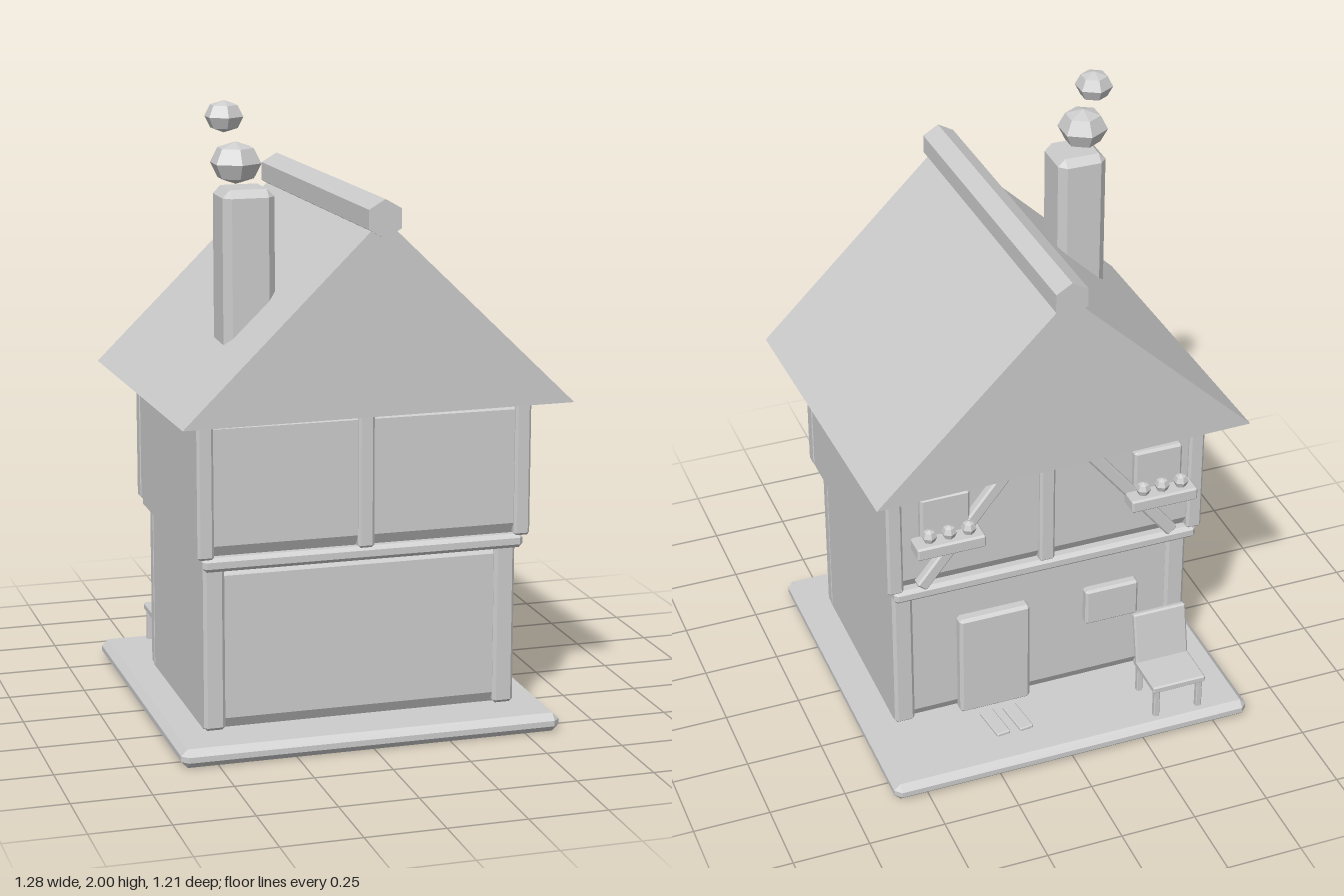
import * as THREE from 'three';
import { ConvexGeometry } from 'three/addons/geometries/ConvexGeometry.js';

const plaster = new THREE.MeshStandardMaterial({ color: 0xcccccc });
plaster.name = 'plain grey';

function add(parent, name, geometry, x = 0, y = 0, z = 0) {
  const mesh = new THREE.Mesh(geometry, plaster);
  mesh.name = name;
  mesh.position.set(x, y, z);
  parent.add(mesh);
  return mesh;
}

// Box with all edges chamfered by c
function chamferBox(w, h, d, c) {
  const pts = [];
  for (const sx of [-1, 1]) for (const sy of [-1, 1]) for (const sz of [-1, 1]) {
    const a = w / 2, b = h / 2, e = d / 2;
    pts.push(
      new THREE.Vector3(sx * a, sy * (b - c), sz * (e - c)),
      new THREE.Vector3(sx * (a - c), sy * b, sz * (e - c)),
      new THREE.Vector3(sx * (a - c), sy * (b - c), sz * e));
  }
  return new ConvexGeometry(pts);
}

// Chamfered block given by its limits
function block(parent, name, x0, x1, y0, y1, z0, z1, c = 0.006) {
  return add(parent, name, chamferBox(x1 - x0, y1 - y0, z1 - z0, c),
    (x0 + x1) / 2, (y0 + y1) / 2, (z0 + z1) / 2);
}

// Storey body: flat sides, front and back chamfered along top and bottom
function storey(parent, name, halfX, y0, y1, z0, z1) {
  const cy = 0.035, cz = 0.02;
  const shape = new THREE.Shape([
    [z0 + cz, y0], [z1 - cz, y0], [z1, y0 + cy], [z1, y1 - cy],
    [z1 - cz, y1], [z0 + cz, y1], [z0, y1 - cy], [z0, y0 + cy],
  ].map(([z, y]) => new THREE.Vector2(-z, y)));
  const g = new THREE.ExtrudeGeometry(shape, { depth: halfX * 2, bevelEnabled: false });
  g.translate(0, 0, -halfX).rotateY(Math.PI / 2);
  add(parent, name, g);
}

export function createModel() {
  const house = new THREE.Group();
  house.name = 'house';

  // Base and storeys
  block(house, 'base', -0.617, 0.612, 0, 0.06, -0.607, 0.58, 0.021);
  storey(house, 'lowerWalls', 0.506, 0.06, 0.59, -0.292, 0.413);
  block(house, 'floorSlab', -0.52, 0.516, 0.585, 0.63, -0.356, 0.476, 0.012);
  storey(house, 'upperWalls', 0.534, 0.63, 1.066, -0.34, 0.464);

  // Timber posts on front and back
  for (const s of [-1, 1]) {
    const [l0, l1] = s > 0 ? [0.37, 0.425] : [-0.303, -0.25];
    const [u0, u1] = s > 0 ? [0.42, 0.476] : [-0.354, -0.3];
    for (const x of [-0.474, 0.474]) block(house, 'lowerPost', x - 0.034, x + 0.034, 0.06, 0.595, l0, l1, 0.01);
    for (const x of [-0.511, 0, 0.511]) block(house, 'upperPost', x - 0.026, x + 0.026, 0.625, 1.08, u0, u1, 0.008);
  }

  // Roof, ridge and chimney; the roof is turned slightly
  const roof = new THREE.Group();
  roof.name = 'roof';
  roof.position.set(0, 1.066, 0.054);
  roof.rotation.y = 0.028;
  house.add(roof);
  const gable = new THREE.Shape([
    new THREE.Vector2(-0.626, 0), new THREE.Vector2(0.626, 0), new THREE.Vector2(0, 0.605)]);
  add(roof, 'gableRoof', new THREE.ExtrudeGeometry(gable, { depth: 1.06, bevelEnabled: false }), 0, 0, -0.53);
  const ridge = new THREE.CylinderGeometry(0.06, 0.06, 1.09, 6).toNonIndexed();
  ridge.rotateX(Math.PI / 2);
  ridge.computeVertexNormals();
  add(roof, 'ridgeBeam', ridge, 0, 0.604, 0);
  block(house, 'chimney', -0.416, -0.253, 1.18, 1.736, 0.196, 0.36, 0.024);

  // Smoke puffs
  for (const [x, y, z, r] of [[-0.357, 1.81, 0.272, 0.081], [-0.393, 1.952, 0.272, 0.061]]) {
    const puff = new THREE.SphereGeometry(r, 6, 4).rotateY(Math.PI / 6).scale(1, 0.8, 1).toNonIndexed();
    puff.computeVertexNormals();
    add(house, 'smokePuff', puff, x, y, z);
  }

  // Door, lower window and two mats on the back
  block(house, 'door', 0.047, 0.29, 0.06, 0.44, -0.328, -0.28, 0.01);
  block(house, 'lowerWindow', -0.335, -0.15, 0.3, 0.435, -0.322, -0.28, 0.008);
  for (const x of [0.125, 0.205]) {
    block(house, 'mat', x - 0.024, x + 0.024, 0.058, 0.073, -0.48, -0.35, 0.004).rotation.y = 0.12;
  }

  // Diagonal braces, upper windows and flower boxes
  for (const s of [-1, 1]) {
    const brace = add(house, 'brace', chamferBox(0.042, 0.5, 0.04, 0.006), s * 0.275, 0.835, -0.348);
    brace.rotation.z = s * 0.67;
    const x = s > 0 ? 0.347 : -0.373;
    block(house, 'upperWindow', x - 0.082, x + 0.082, 0.77, 0.975, -0.365, -0.32, 0.008);
    block(house, 'flowerBox', x - 0.113, x + 0.113, 0.79, 0.835, -0.425, -0.35, 0.006);
    for (const dx of [-0.065, 0, 0.065]) {
      const bloom = new THREE.SphereGeometry(0.025, 6, 4).rotateY(Math.PI / 6).toNonIndexed();
      bloom.computeVertexNormals();
      add(house, 'flower', bloom, x + dx, 0.857, -0.394);
    }
  }

  // Chair
  const chair = new THREE.Group();
  chair.name = 'chair';
  house.add(chair);
  block(chair, 'chairSeat', -0.472, -0.288, 0.16, 0.186, -0.574, -0.4, 0.005);
  for (const x of [-0.455, -0.305]) for (const z of [-0.557, -0.416]) {
    block(chair, 'chairLeg', x - 0.01, x + 0.01, 0.055, 0.165, z - 0.01, z + 0.01, 0.003);
  }
  const back = add(chair, 'chairBack', chamferBox(0.184, 0.185, 0.024, 0.006), -0.38, 0.266, -0.405);
  back.rotation.x = 0.19;

  return house;
}
